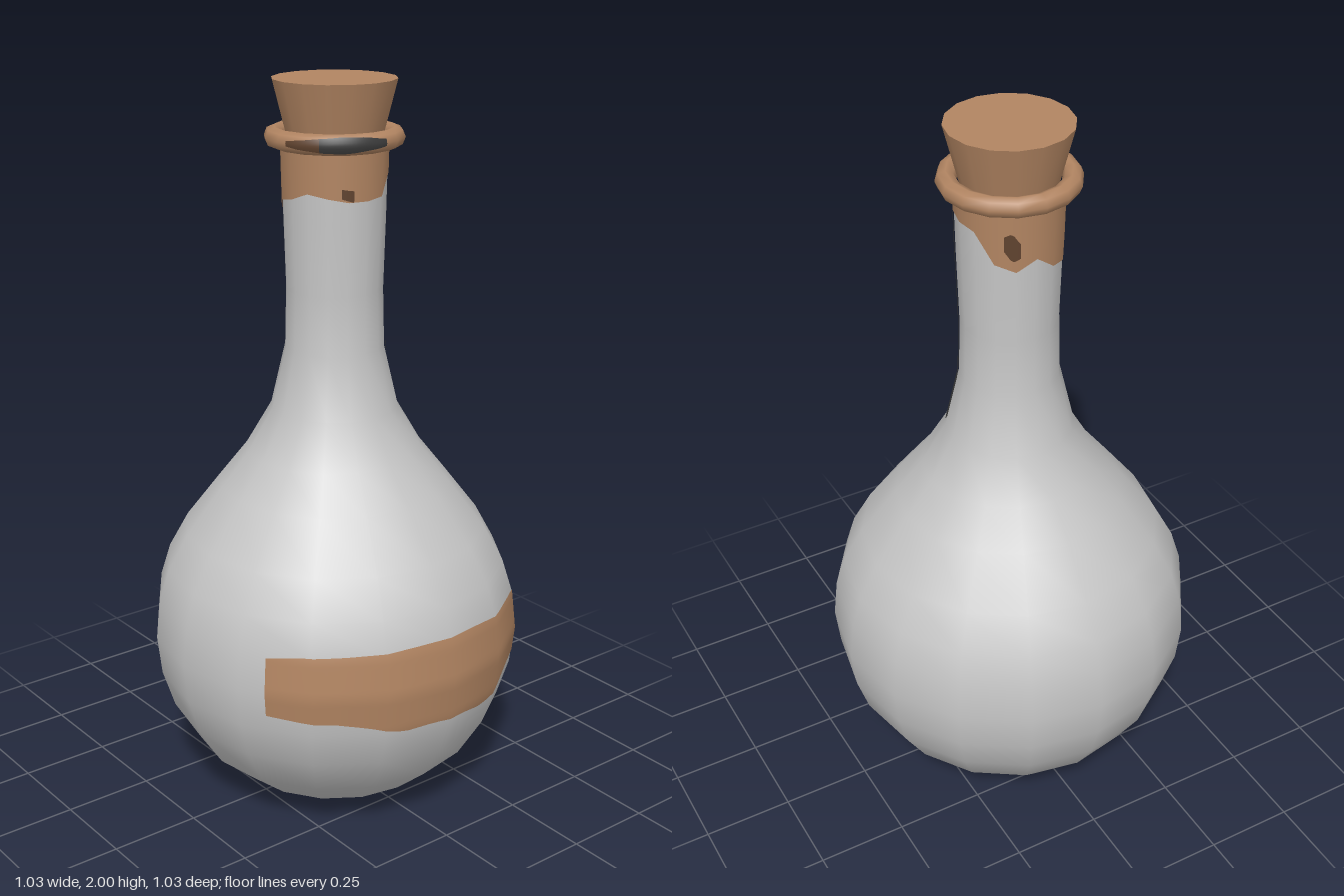
import * as THREE from 'three';

const SIDES = 16;
const STEP = (Math.PI * 2) / SIDES;
const mat = (name, color, side = THREE.FrontSide) => {
  const m = new THREE.MeshStandardMaterial({ color, side });
  m.name = name;
  return m;
};

// Silhouettes as [radius, height]
const BODY = [
  [0.2, 0], [0.215, 0.012], [0.29, 0.05], [0.4, 0.145], [0.47, 0.26], [0.503, 0.365], [0.515, 0.475],
  [0.503, 0.585], [0.475, 0.675], [0.42, 0.775], [0.32, 0.905], [0.245, 1.0], [0.175, 1.12],
  [0.135, 1.29], [0.131, 1.45], [0.137, 1.65], [0.141, 1.84],
];
const RING = [[0.174, 1.828], [0.183, 1.838], [0.186, 1.851], [0.183, 1.864], [0.174, 1.874]];

// Linear lookup in a list of [value, key] pairs
function lookup(list, key) {
  let i = 1;
  while (i < list.length - 1 && list[i][1] < key) i++;
  const [v0, k0] = list[i - 1], [v1, k1] = list[i];
  return v0 + (v1 - v0) * THREE.MathUtils.clamp((key - k0) / (k1 - k0), 0, 1);
}

// Evenly spaced samples across t = 0..1
function sample(values, t) {
  const f = t * (values.length - 1);
  const i = Math.min(Math.floor(f), values.length - 2);
  return values.length < 2 ? values[0] : THREE.MathUtils.lerp(values[i], values[i + 1], f - i);
}

// Thin painted skin that follows the faceted surface between two uneven edges.
// Angles are degrees from the front (+z) towards +x.
function paint(profile, from, to, bottoms, tops, rows = 16, lift = 0.003) {
  const cols = Math.max(4, Math.ceil((to - from) / 3.75));
  const pos = [], nor = [], idx = [];
  for (let i = 0; i <= cols; i++) {
    const t = i / cols;
    const a = THREE.MathUtils.degToRad(from + (to - from) * t);
    const local = ((a % STEP) + STEP) % STEP - STEP / 2;
    const facet = Math.cos(STEP / 2) / Math.cos(local);
    const lo = sample(bottoms, t), hi = sample(tops, t);
    for (let j = 0; j <= rows; j++) {
      const y = lo + ((hi - lo) * j) / rows;
      const d = 0.02;
      const y0 = Math.max(y - d, profile[0][1]), y1 = Math.min(y + d, profile[profile.length - 1][1]);
      const slope = (lookup(profile, y1) - lookup(profile, y0)) / (y1 - y0);
      const n = new THREE.Vector3(Math.sin(a), -slope, Math.cos(a)).normalize();
      const r = lookup(profile, y) * facet;
      pos.push(r * Math.sin(a) + n.x * lift, Math.max(0, y + n.y * lift), r * Math.cos(a) + n.z * lift);
      nor.push(n.x, n.y, n.z);
      if (i < cols && j < rows) {
        const p = i * (rows + 1) + j, q = p + rows + 1;
        idx.push(p, q, q + 1, p, q + 1, p + 1);
      }
    }
  }
  const g = new THREE.BufferGeometry();
  g.setAttribute('position', new THREE.Float32BufferAttribute(pos, 3));
  g.setAttribute('normal', new THREE.Float32BufferAttribute(nor, 3));
  g.setIndex(idx);
  return g;
}

export function createModel() {
  const group = new THREE.Group();
  const glass = mat('grey glass', 0xc6c6c6);
  const tan = mat('tan cork', 0xb28562);
  const brown = mat('dark brown', 0x60432f);
  const charcoal = mat('charcoal', 0x3a3a3a);

  const add = (name, geometry, material, y = 0) => {
    const mesh = new THREE.Mesh(geometry, material);
    mesh.name = name;
    mesh.position.y = y;
    group.add(mesh);
    return mesh;
  };

  // Round flask with long neck
  add('flask', new THREE.LatheGeometry(BODY.map(([r, y]) => new THREE.Vector2(r, y)), SIDES), glass);
  add('base', new THREE.CircleGeometry(0.2, SIDES).rotateX(Math.PI / 2), tan);

  // Lip ring and tapered stopper
  add('lipRing', new THREE.TorusGeometry(0.159, 0.027, 8, SIDES).rotateX(Math.PI / 2), tan, 1.851);
  add('stopper', new THREE.CylinderGeometry(0.165, 0.122, 0.17, SIDES), tan, 1.915);

  // Label with a ragged lower edge
  add('label', paint(BODY, -59, 59,
    [0.41, 0.405, 0.4, 0.385, 0.36, 0.365, 0.36, 0.345, 0.375, 0.395, 0.41, 0.42],
    [0.575, 0.59, 0.59, 0.595, 0.597, 0.6, 0.597, 0.592, 0.59, 0.59, 0.575]), tan);

  // Coloured collar under the lip, lower at the back
  add('neckCollar', paint(BODY, 0, 360,
    [1.7, 1.705, 1.76, 1.77, 1.765, 1.76, 1.68, 1.66, 1.69, 1.65, 1.64, 1.69, 1.7, 1.72, 1.71, 1.7, 1.7],
    [1.838, 1.838], 4), tan);

  // Stain around the foot
  add('footStain', paint(BODY, 68, 202,
    [0.005, 0.005], [0.06, 0.12, 0.125, 0.135, 0.135, 0.13, 0.12, 0.11, 0.105, 0.11, 0.06]), tan);
  add('frontFootStain', paint(BODY, 0, 28, [0.012, 0.012], [0.03, 0.05, 0.05, 0.03], 6), tan);
  add('footRim', paint(BODY, 0, 360, [0, 0], [0.012, 0.012], 2, 0.004), brown);

  // Dark streak down the neck
  add('neckStreak', paint(BODY, 51, 70, [1.27, 1.2, 1.135, 1.13, 1.15], [1.77, 1.77], 20, 0.004), charcoal);

  // Small dark marks on the lip and collar
  add('lipMark', paint(RING, -50, 8, [1.835, 1.832, 1.838, 1.845], [1.868, 1.872, 1.87, 1.862], 6), charcoal);
  add('lipMarkSide', paint(RING, -80, -50, [1.845, 1.835], [1.858, 1.868], 6), brown);
  add('collarMark', paint(BODY, 145, 162, [1.72, 1.69, 1.7], [1.76, 1.77, 1.74], 4, 0.005), brown);
  add('collarMarkFront', paint(BODY, -30, -17, [1.71, 1.7], [1.735, 1.73], 3, 0.005), brown);

  return group;
}
